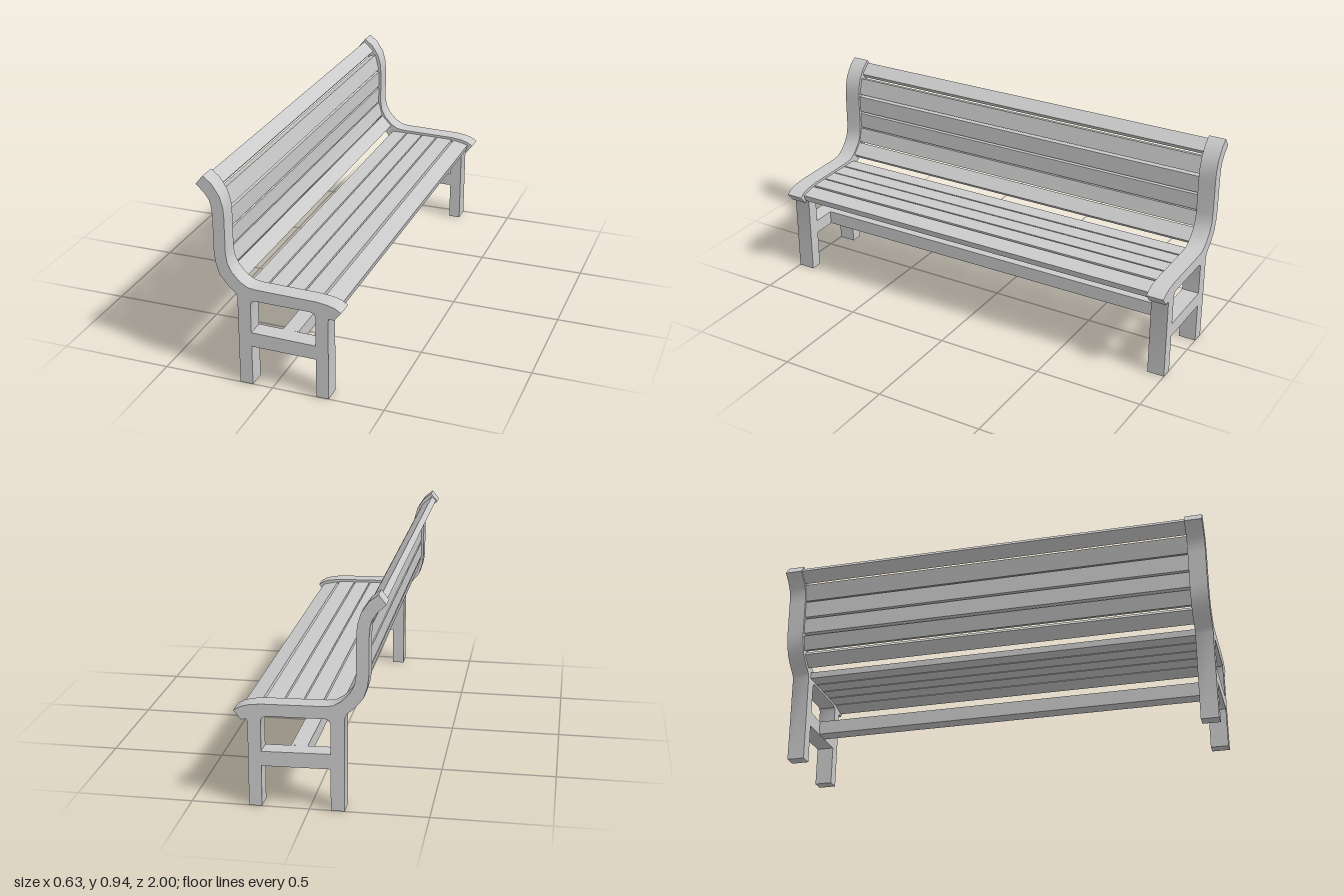
import * as THREE from 'three';
import { toCreasedNormals } from 'three/addons/utils/BufferGeometryUtils.js';

const material = new THREE.MeshStandardMaterial({ color: 0xcccccc });
const toPoints = (list) => list.map(([x, y]) => new THREE.Vector2(x, y));

const HALF = 1; // half length of the bench
const FRAME = 0.08; // thickness of an end frame
const SPAN = 2 * (HALF - FRAME); // clear length between the frames

// Side profile of an end frame: curled back, seat rail, two legs
const outline = [
  [-0.283, 0.935], [-0.245, 0.905], [-0.212, 0.855], [-0.198, 0.805], [-0.195, 0.76],
  [-0.195, 0.6], [-0.188, 0.557], [-0.17, 0.52], [-0.135, 0.482], [-0.1, 0.461], [-0.065, 0.456],
  [0.2, 0.451], [0.25, 0.445], [0.285, 0.435], [0.313, 0.418], [0.28, 0.377],
  [0.27, 0.383], [0.259, 0.381], [0.255, 0.37], [0.255, 0], [0.2, 0],
  [0.2, 0.18], [-0.09, 0.184], [-0.09, 0], [-0.148, 0], [-0.148, 0.41],
  [-0.157, 0.428], [-0.19, 0.457], [-0.225, 0.5], [-0.241, 0.55], [-0.247, 0.6],
  [-0.247, 0.76], [-0.25, 0.8], [-0.259, 0.832], [-0.28, 0.862], [-0.315, 0.895],
];

// Opening between seat rail and crossbar
const opening = [
  [-0.09, 0.25], [0.2, 0.244], [0.2, 0.38], [0.193, 0.393], [0.175, 0.399],
  [-0.07, 0.402], [-0.085, 0.396], [-0.09, 0.38],
];

// Centre lines of the slats, seen from the side
const seatSlats = [
  [[-0.125, 0.428], [-0.05, 0.428]],
  [[-0.043, 0.428], [0.034, 0.427]],
  [[0.04, 0.427], [0.114, 0.426]],
  [[0.121, 0.426], [0.2, 0.424]],
  [[0.208, 0.423], [0.284, 0.406]],
];
const backSlats = [
  [[-0.147, 0.462], [-0.195, 0.512]],
  [[-0.201, 0.523], [-0.219, 0.591]],
  [[-0.221, 0.6], [-0.221, 0.675]],
  [[-0.221, 0.685], [-0.221, 0.765]],
  [[-0.222, 0.774], [-0.241, 0.852]],
  [[-0.248, 0.864], [-0.297, 0.909]],
];

function makeFrameGeometry() {
  const shape = new THREE.Shape(toPoints(outline));
  shape.holes.push(new THREE.Path(toPoints(opening)));
  const geometry = new THREE.ExtrudeGeometry(shape, { depth: FRAME, bevelEnabled: false });
  return toCreasedNormals(geometry, 0.6);
}

// Plank running along z whose section is centred on the line from a to b
function makeSlat(name, [a, b], thickness = 0.03) {
  const dx = b[0] - a[0];
  const dy = b[1] - a[1];
  const slat = new THREE.Mesh(new THREE.BoxGeometry(Math.hypot(dx, dy), thickness, SPAN), material);
  slat.position.set((a[0] + b[0]) / 2, (a[1] + b[1]) / 2, 0);
  slat.rotation.z = Math.atan2(dy, dx);
  slat.name = name;
  return slat;
}

export function createModel() {
  const bench = new THREE.Group();
  bench.name = 'bench';

  // End frames
  const frameGeometry = makeFrameGeometry();
  for (const [name, z] of [['frontEndFrame', HALF - FRAME], ['rearEndFrame', -HALF]]) {
    const frame = new THREE.Mesh(frameGeometry, material);
    frame.position.z = z;
    frame.name = name;
    bench.add(frame);
  }

  // Seat and backrest planks
  const seat = new THREE.Group();
  seat.name = 'seat';
  seatSlats.forEach((line, i) => seat.add(makeSlat(`seatSlat${i + 1}`, line)));
  const backrest = new THREE.Group();
  backrest.name = 'backrest';
  backSlats.forEach((line, i) => backrest.add(makeSlat(`backSlat${i + 1}`, line)));

  // Long beam joining the crossbars
  const stretcher = makeSlat('stretcher', [[0.02, 0.215], [0.09, 0.215]], 0.064);

  bench.add(seat, backrest, stretcher);
  return bench;
}
